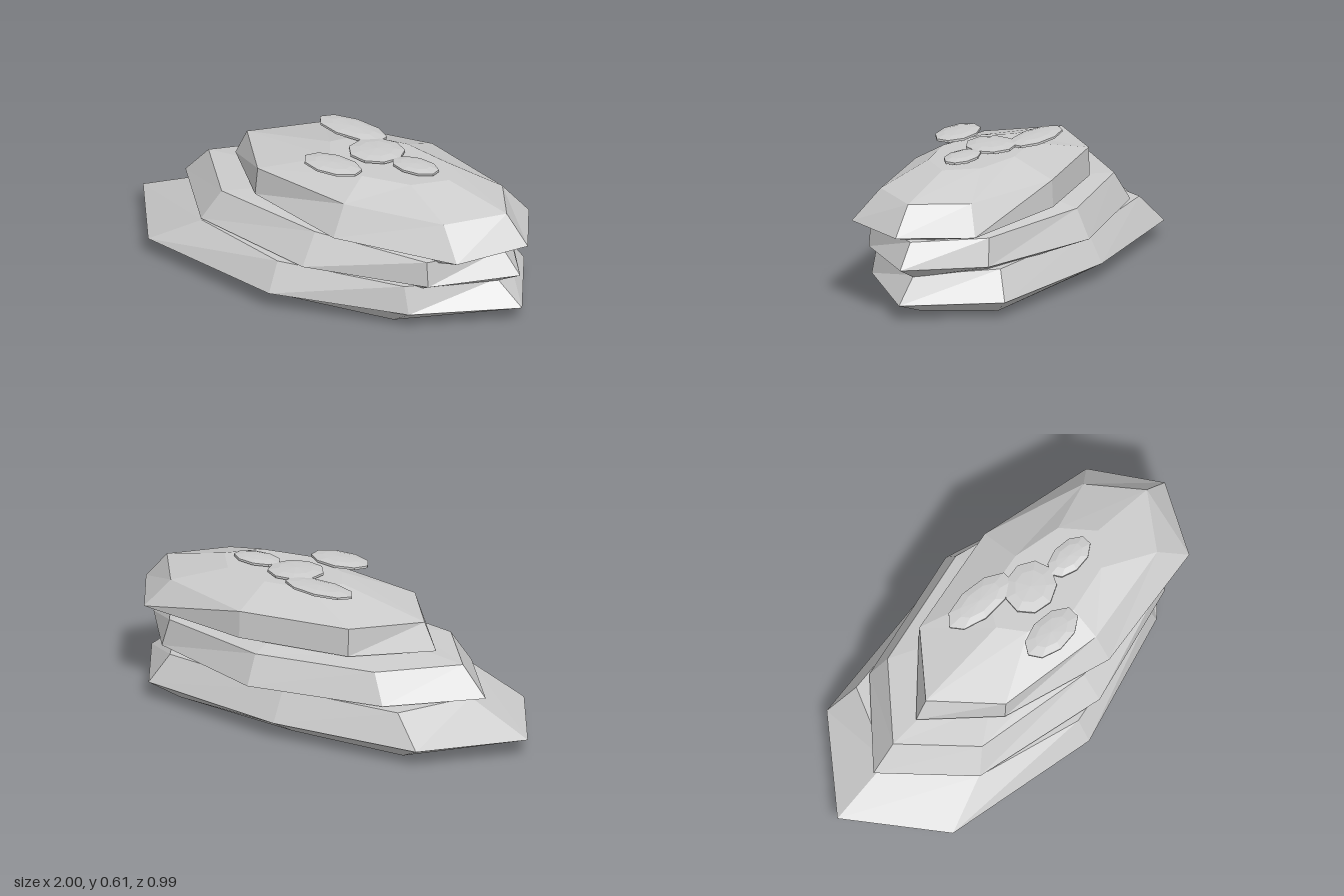
import * as THREE from 'three';

const material = () => new THREE.MeshStandardMaterial({ color: 0xcccccc, flatShading: true });

// Faceted stone lofted through eight-point rings, listed bottom to top.
// Each ring is { y, p }: p holds [x, z] or [x, z, y] from the left tip round the front.
function stone(name, rings) {
  const pos = [], index = [], n = 8;
  for (const { y, p } of rings) for (const [x, z, py = y] of p) pos.push(x, py, z);
  for (let r = 0; r < rings.length - 1; r++) {
    for (let i = 0; i < n; i++) {
      const a = r * n + i, b = r * n + (i + 1) % n;
      index.push(a, b, b + n, a, b + n, a + n);
    }
  }
  // flat caps
  const top = (rings.length - 1) * n;
  for (let i = 1; i < n - 1; i++) {
    index.push(0, i + 1, i);
    index.push(top, top + i, top + i + 1);
  }
  const indexed = new THREE.BufferGeometry();
  indexed.setAttribute('position', new THREE.Float32BufferAttribute(pos, 3));
  indexed.setIndex(index);
  const geometry = indexed.toNonIndexed();
  geometry.computeVertexNormals();
  const mesh = new THREE.Mesh(geometry, material());
  mesh.name = name;
  return mesh;
}

// Thin faceted pad lying on the top stone
function pad(x, z, rx, rz, turn) {
  const geometry = new THREE.SphereGeometry(1, 9, 5);
  const mesh = new THREE.Mesh(geometry, material());
  mesh.scale.set(rx, 0.016, rz);
  mesh.rotation.y = turn;
  mesh.position.set(x, 0.592, z);
  return mesh;
}

export function createModel() {
  const model = new THREE.Group();
  model.name = 'stackedStones';

  model.add(stone('bottomStone', [
    { y: 0, p: [[-0.74, -0.03, 0.01], [-0.55, 0.29, 0.01], [0, 0.36, 0.01], [0.5, 0.26], [0.78, -0.03], [0.62, -0.32], [0, -0.36], [-0.55, -0.32]] },
    { y: 0.075, p: [[-1, -0.03, 0.08], [-0.7, 0.37, 0.08], [0.01, 0.49, 0.08], [0.61, 0.305], [0.97, -0.03, 0.07], [0.72, -0.41], [0.01, -0.49], [-0.68, -0.41]] },
    { y: 0.21, p: [[-0.7, -0.03], [-0.47, 0.3], [0.01, 0.425], [0.58, 0.295, 0.2], [0.84, -0.03, 0.175], [0.65, -0.35, 0.2], [0.01, -0.42], [-0.55, -0.36]] },
  ]));

  model.add(stone('middleStone', [
    { y: 0.17, p: [[-0.55, -0.03, 0.2], [-0.35, 0.22, 0.2], [0.14, 0.3, 0.18], [0.62, 0.22], [0.84, -0.03, 0.165], [0.62, -0.26], [0.14, -0.36, 0.18], [-0.35, -0.26, 0.2]] },
    { y: 0.22, p: [[-0.78, -0.03], [-0.47, 0.305], [0.14, 0.425], [0.69, 0.275], [0.96, -0.03, 0.225], [0.71, -0.325], [0.14, -0.5], [-0.47, -0.36]] },
    { y: 0.35, p: [[-0.66, -0.03], [-0.4, 0.25], [0.14, 0.33], [0.68, 0.27, 0.335], [0.87, -0.03, 0.33], [0.68, -0.31, 0.34], [0.14, -0.44], [-0.4, -0.32]] },
    { y: 0.37, p: [[-0.45, -0.03], [-0.25, 0.15], [0.14, 0.24], [0.5, 0.18], [0.68, -0.03, 0.36], [0.55, -0.22], [0.14, -0.35], [-0.25, -0.24]] },
  ]));

  model.add(stone('topStone', [
    { y: 0.33, p: [[-0.35, -0.03, 0.36], [-0.12, 0.14, 0.36], [0.26, 0.24, 0.35], [0.68, 0.21, 0.31], [0.82, -0.03, 0.325], [0.68, -0.21, 0.33], [0.26, -0.27, 0.35], [-0.12, -0.2, 0.36]] },
    { y: 0.375, p: [[-0.52, -0.03, 0.38], [-0.24, 0.23], [0.26, 0.365, 0.37], [0.84, 0.275], [1, -0.03, 0.38], [0.81, -0.315], [0.26, -0.39, 0.38], [-0.24, -0.29]] },
    { y: 0.5, p: [[-0.46, -0.03], [-0.23, 0.225], [0.26, 0.285], [0.72, 0.2], [0.89, -0.03, 0.505], [0.72, -0.245, 0.495], [0.26, -0.385], [-0.24, -0.285]] },
    { y: 0.578, p: [[-0.03, -0.03], [0.05, 0.08], [0.26, 0.15], [0.48, 0.1], [0.59, -0.03], [0.48, -0.16], [0.26, -0.2], [0.05, -0.16]] },
  ]));

  // Cluster of flat pads on the summit
  const pads = new THREE.Group();
  pads.name = 'topPads';
  [[0, -0.16, 0.185, 0.08, -0.05], [0.2, -0.05, 0.13, 0.115, 0.3], [0.415, -0.03, 0.12, 0.07, 0], [0.115, 0.16, 0.15, 0.085, 0]]
    .forEach((spec, i) => {
      const mesh = pad(...spec);
      mesh.name = `pad${i + 1}`;
      pads.add(mesh);
    });
  model.add(pads);
  return model;
}
